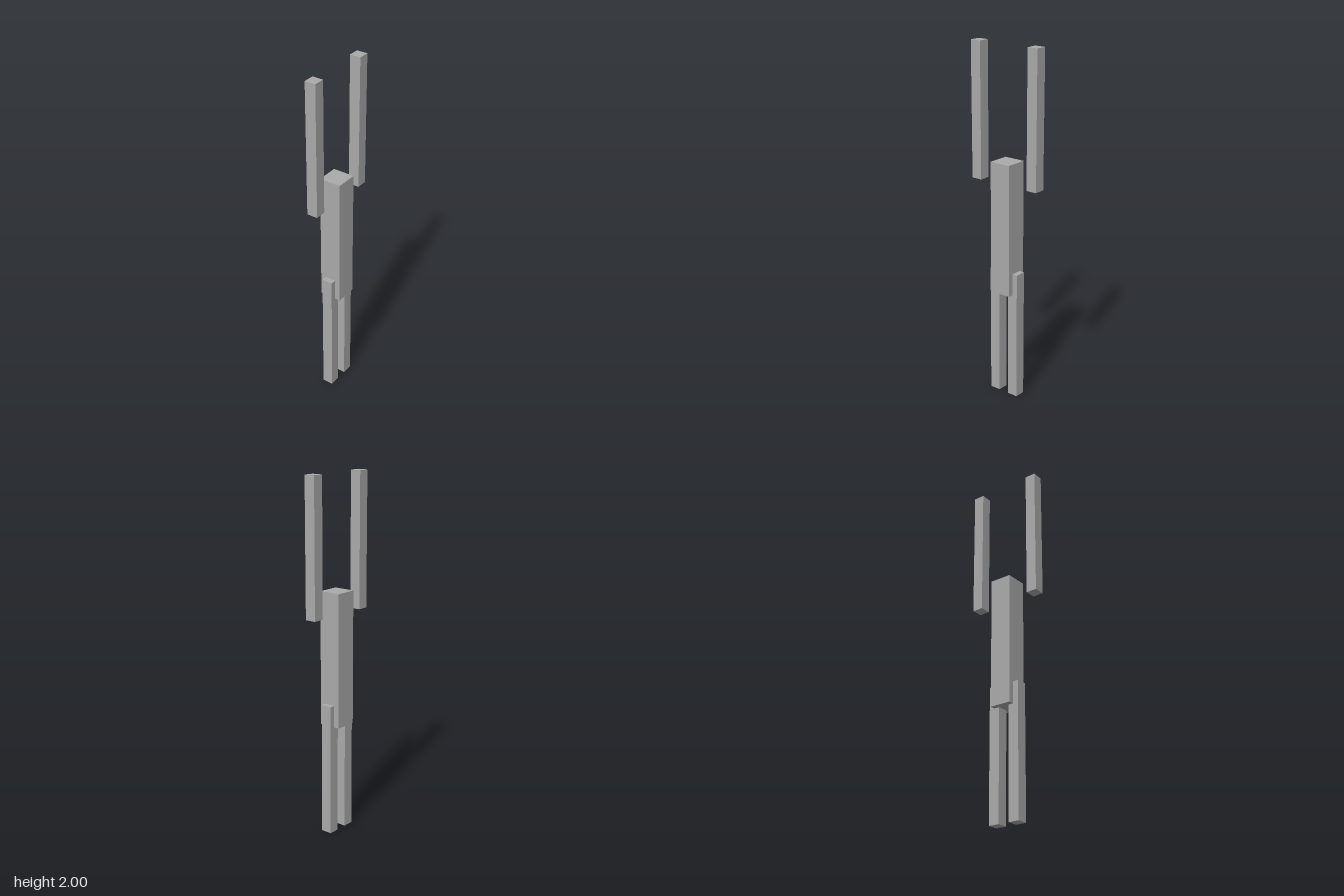
import * as THREE from 'three';

export function createModel() {
  const model = new THREE.Group();
  const grey = new THREE.MeshStandardMaterial({ color: 0xaaaaaa });
  grey.name = 'plain grey';

  // Upright square post, centred at (x, y)
  const post = (name, width, x, y) => {
    const mesh = new THREE.Mesh(new THREE.BoxGeometry(width, 0.75, width), grey);
    mesh.name = name;
    mesh.position.set(x, y, 0);
    model.add(mesh);
  };

  post('torso', 0.125, 0, 1);

  // Limbs mirrored on both sides; the arms float beside the torso
  for (const [side, sign] of [['left', 1], ['right', -1]]) {
    post(side + 'Leg', 0.0625, sign * 0.0625, 0.375);
    post(side + 'Arm', 0.0625, sign * 0.1875, 1.625);
  }

  return model;
}
